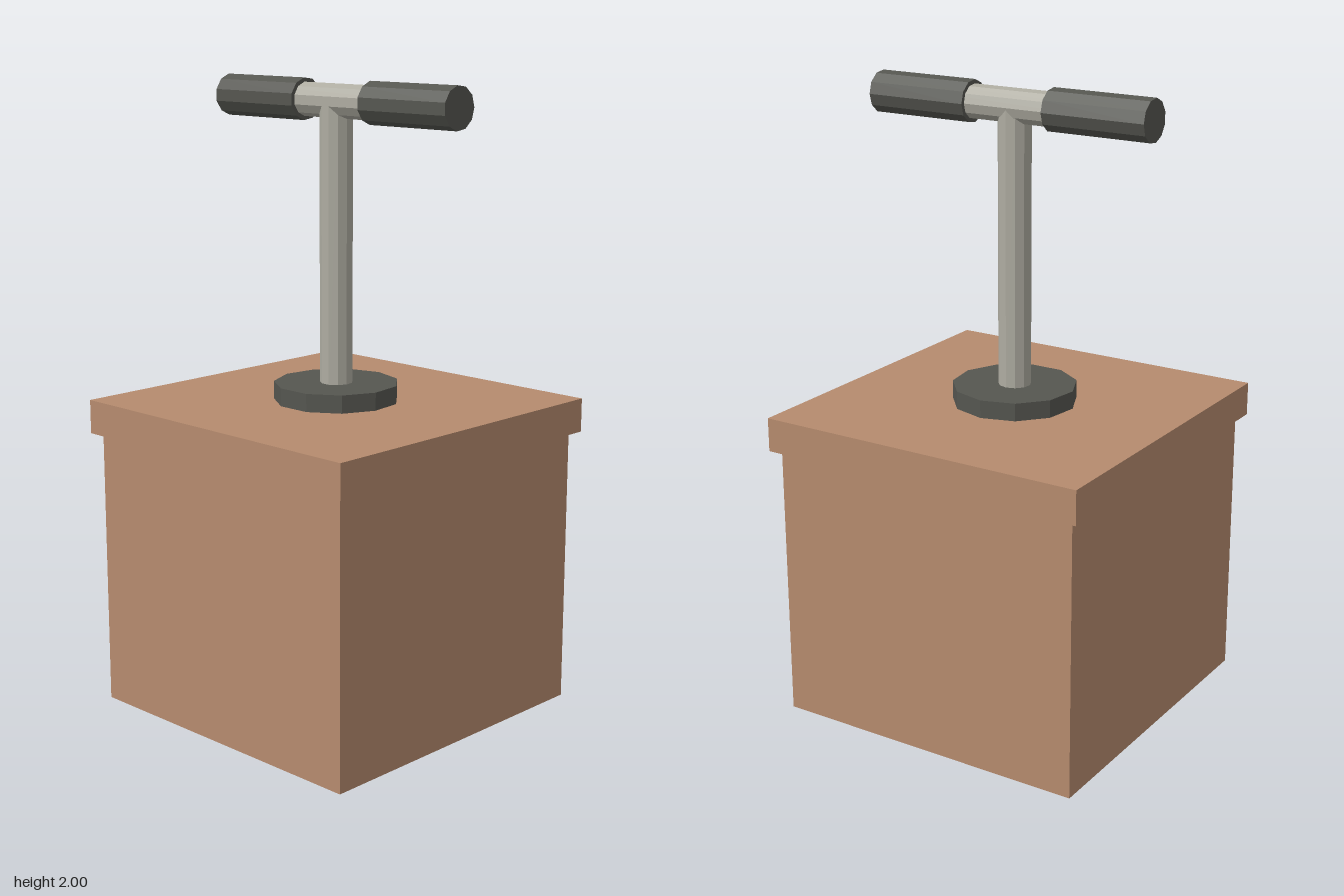
import * as THREE from 'three';

const SIDES = 11;

export function createModel() {
  const mat = (name, color) => {
    const m = new THREE.MeshStandardMaterial({ color, flatShading: true });
    m.name = name;
    return m;
  };
  const wood = mat('tan wood', 0xb68b6e);
  const metal = mat('grey metal', 0xaeaca1);
  const rubber = mat('dark rubber', 0x555650);

  const model = new THREE.Group();
  model.name = 'plungerBox';

  const add = (name, geometry, material, x, y, z = 0) => {
    const mesh = new THREE.Mesh(geometry, material);
    mesh.name = name;
    mesh.position.set(x, y, z);
    model.add(mesh);
  };
  // Eleven-sided cylinder with a corner pointing to the back
  const cylinder = (radius, length) =>
    new THREE.CylinderGeometry(radius, radius, length, SIDES).rotateY(Math.PI);

  // Crate body and overhanging lid
  add('body', new THREE.BoxGeometry(1.045, 0.894, 1.045), wood, 0, 0.447);
  add('lid', new THREE.BoxGeometry(1.1, 0.108, 1.1), wood, 0, 0.947);

  // Collar and plunger rod
  add('collar', cylinder(0.198, 0.057), rubber, 0, 1.0295);
  add('rod', cylinder(0.052, 0.935), metal, 0, 1.4675);

  // Crossbar with a grip on each end
  add('crossbar', cylinder(0.053, 0.9).rotateZ(Math.PI / 2), metal, 0.008, 1.9345, -0.001);
  for (const side of [-1, 1]) {
    add(side > 0 ? 'leftGrip' : 'rightGrip', cylinder(0.066, 0.343).rotateZ(Math.PI / 2),
      rubber, 0.008 + side * 0.311, 1.9347, -0.001);
  }
  return model;
}
